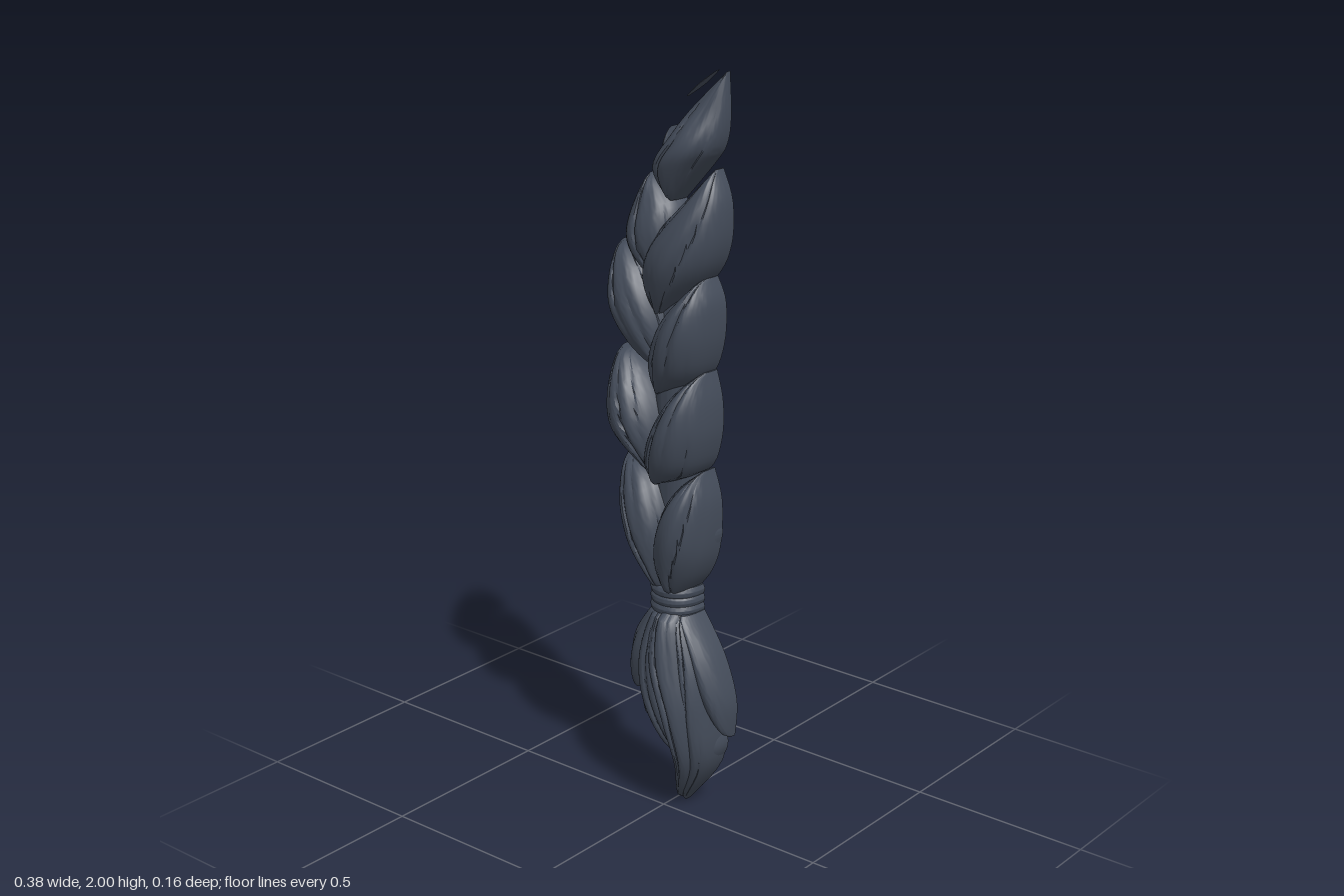
import * as THREE from 'three';
import { toCreasedNormals } from 'three/addons/utils/BufferGeometryUtils.js';

const BACK = -0.08; // the braid is a half relief with a flat back
const hair = new THREE.MeshStandardMaterial({ color: 0x434b59 });
hair.name = 'slate hair';

const spline = (pts) => new THREE.SplineCurve(pts.map(([x, y]) => new THREE.Vector2(x, y)));

// A domed lock between a left and a right edge, both listed from top to bottom.
// front: z of the crest; ends: height left at top and bottom; peak: where the crest lies.
function lock(name, left, right, { front = 0.06, top = 0.3, bottom = 0.3, peak = 0.5, grooves = 5, depth = 0.13, seed = 1 } = {}) {
  const rows = 20, cols = 40;
  const L = spline(left), R = spline(right);
  const skew = Math.log(0.5) / Math.log(peak);
  const pos = [], index = [];
  const heightAt = (u, s) => {
    const end = THREE.MathUtils.lerp(top, bottom, u);
    const along = end + (1 - end) * Math.pow(Math.max(0, Math.sin(Math.PI * Math.pow(u, skew))), 0.75);
    const across = Math.pow(Math.max(0, Math.sin(Math.PI * s)), 0.75);
    // sharp notches of uneven depth run along the lock
    const phase = s * grooves + 0.25 * Math.sin(u * 4 + seed * 2.1) + seed * 0.37;
    const uneven = 0.55 + 0.45 * Math.sin(Math.round(phase) * 2.7 + seed + u * 3);
    const notch = 1 - Math.pow(Math.abs(Math.sin(Math.PI * phase)), 0.5);
    return (front - BACK) * along * across * (1 - depth * uneven * notch);
  };
  // first and last rows drop to the back plane and close the ends
  for (let i = -1; i <= rows + 1; i++) {
    const u = THREE.MathUtils.clamp(i / rows, 0, 1);
    const a = L.getPoint(u), b = R.getPoint(u);
    for (let j = 0; j <= cols; j++) {
      const s = j / cols;
      const p = a.clone().lerp(b, (1 - Math.cos(Math.PI * s)) / 2);
      pos.push(p.x, p.y, BACK + (i < 0 || i > rows ? 0 : heightAt(u, s)));
    }
  }
  const ring = cols + 1, count = ring * (rows + 3);
  for (let k = 0; k < count; k++) pos.push(pos[k * 3], pos[k * 3 + 1], BACK);
  for (let i = 0; i < rows + 2; i++) {
    for (let j = 0; j < cols; j++) {
      const a = i * ring + j, b = a + ring, c = b + 1, d = a + 1;
      index.push(a, b, c, a, c, d);
      index.push(a + count, c + count, b + count, a + count, d + count, c + count);
    }
  }
  const geo = new THREE.BufferGeometry();
  geo.setAttribute('position', new THREE.Float32BufferAttribute(pos, 3));
  geo.setIndex(index);
  const mesh = new THREE.Mesh(toCreasedNormals(geo, 0.45), hair);
  mesh.name = name;
  return mesh;
}

// A thin stray wisp from a to b
function wisp(name, a, b, width, front) {
  const mid = [(a[0] + b[0]) / 2, (a[1] + b[1]) / 2];
  return lock(name, [a, [mid[0] - width / 2, mid[1]], b], [a, [mid[0] + width / 2, mid[1]], b],
    { front, grooves: 1, depth: 0, top: 0.5, bottom: 0.5 });
}

export function createModel() {
  const model = new THREE.Group();
  model.name = 'braid';

  // Plaited locks on the model's left (+x)
  const leftLocks = [
    [[[0.14, 2], [0.05, 1.91], [0, 1.84], [-0.055, 1.75], [0, 1.675]],
      [[0.142, 2], [0.147, 1.89], [0.135, 1.82], [0.1, 1.77], [0.01, 1.67]], { front: 0.035, top: 0.1, bottom: 0.55, peak: 0.66 }],
    [[[0.12, 1.76], [0.03, 1.66], [-0.055, 1.56], [-0.075, 1.46], [-0.025, 1.37]],
      [[0.125, 1.76], [0.155, 1.68], [0.152, 1.57], [0.105, 1.48], [-0.02, 1.37]], { front: 0.065, top: 0.2, bottom: 0.5, peak: 0.6 }],
    [[[0.1, 1.485], [0.035, 1.42], [-0.02, 1.35], [-0.055, 1.25], [-0.03, 1.165]],
      [[0.11, 1.485], [0.137, 1.42], [0.132, 1.31], [0.09, 1.22], [-0.02, 1.165]], { front: 0.07, bottom: 0.5 }],
    [[[0.1, 1.24], [0.03, 1.18], [-0.035, 1.08], [-0.065, 0.98], [-0.03, 0.92]],
      [[0.11, 1.24], [0.13, 1.16], [0.128, 1.06], [0.09, 0.97], [-0.02, 0.92]], { front: 0.078, bottom: 0.5 }],
    [[[0.1, 0.975], [0.035, 0.92], [-0.012, 0.84], [-0.033, 0.73], [-0.01, 0.63]],
      [[0.105, 0.975], [0.13, 0.89], [0.127, 0.77], [0.1, 0.69], [0.055, 0.63]], { front: 0.07, bottom: 0.6 }],
  ];
  leftLocks.forEach(([l, r, o], i) => model.add(lock(`leftLock${i + 1}`, l, r, { ...o, seed: i + 1 })));

  // Plaited locks on the model's right (-x)
  const rightLocks = [
    [[[-0.09, 1.725], [-0.135, 1.62], [-0.14, 1.55], [-0.1, 1.49], [-0.03, 1.44]],
      [[-0.06, 1.725], [0.01, 1.67], [0.03, 1.6], [0.02, 1.52], [-0.01, 1.44]], { front: 0.035 }],
    [[[-0.18, 1.54], [-0.19, 1.45], [-0.18, 1.36], [-0.11, 1.27], [-0.03, 1.225]],
      [[-0.13, 1.545], [-0.06, 1.5], [-0.01, 1.42], [0.01, 1.33], [-0.01, 1.225]], { front: 0.06 }],
    [[[-0.18, 1.26], [-0.19, 1.16], [-0.18, 1.06], [-0.12, 0.99], [-0.04, 0.93]],
      [[-0.13, 1.26], [-0.07, 1.21], [-0.02, 1.13], [0, 1.04], [-0.02, 0.93]], { front: 0.065 }],
    [[[-0.165, 0.97], [-0.158, 0.85], [-0.125, 0.75], [-0.085, 0.68], [-0.05, 0.63]],
      [[-0.1, 0.975], [-0.03, 0.94], [0.015, 0.85], [0.02, 0.75], [0.01, 0.63]], { front: 0.06, bottom: 0.55 }],
  ];
  rightLocks.forEach(([l, r, o], i) => model.add(lock(`rightLock${i + 1}`, l, r, { top: 0.35, bottom: 0.4, grooves: 6, ...o, seed: i + 6 })));

  // Core that fills the gaps between the locks
  model.add(lock('core', [[0.02, 1.62], [-0.08, 1.4], [-0.06, 1.1], [-0.07, 0.8], [-0.05, 0.6]],
    [[0.08, 1.62], [0.08, 1.4], [0.08, 1.1], [0.08, 0.8], [0.06, 0.6]], { front: 0, top: 0.5, bottom: 0.8, depth: 0 }));

  // Tie band: three stacked rolls
  for (let i = 0; i < 3; i++) {
    const y = 0.642 - i * 0.025;
    model.add(lock(`tieBand${i + 1}`, [[-0.068, y], [-0.072, y - 0.014], [-0.066, y - 0.028]],
      [[0.07, y], [0.075, y - 0.014], [0.07, y - 0.028]], { front: 0.015, top: 0.92, bottom: 0.92, depth: 0, seed: i }));
  }

  // Loose tail below the tie
  const tail = [
    ['tailOuterRight', [[-0.06, 0.57], [-0.11, 0.49], [-0.135, 0.38], [-0.14, 0.285]],
      [[0, 0.57], [-0.03, 0.49], [-0.07, 0.4], [-0.135, 0.285]], { front: 0.02, top: 0.8, bottom: 0.1, peak: 0.4, grooves: 3 }],
    ['tailRight', [[-0.05, 0.575], [-0.085, 0.45], [-0.08, 0.33], [-0.04, 0.22], [0, 0.145]],
      [[0.03, 0.575], [0.04, 0.45], [0.06, 0.33], [0.06, 0.22], [0.025, 0.145]], { front: 0.055, top: 0.6, bottom: 0.2, peak: 0.4 }],
    ['tailMiddle', [[-0.03, 0.575], [-0.045, 0.44], [0, 0.29], [0.03, 0.15], [0.005, 0.005]],
      [[0.06, 0.575], [0.1, 0.44], [0.125, 0.3], [0.115, 0.14], [0.03, 0.005]], { front: 0.072, top: 0.6, bottom: 0.12, peak: 0.38 }],
    ['tailLeft', [[0.03, 0.57], [0.05, 0.44], [0.07, 0.3], [0.07, 0.15], [0.02, 0]],
      [[0.07, 0.57], [0.13, 0.44], [0.15, 0.3], [0.14, 0.15], [0.03, 0]], { front: 0.045, top: 0.6, bottom: 0.15, peak: 0.4, grooves: 4 }],
    ['tailOuterLeft', [[0.03, 0.57], [0.08, 0.47], [0.11, 0.35], [0.165, 0.235]],
      [[0.075, 0.57], [0.145, 0.46], [0.185, 0.34], [0.18, 0.235]], { front: 0.02, top: 0.8, bottom: 0.2, peak: 0.4, grooves: 3 }],
    ['tailLowerLeft', [[0.1, 0.3], [0.09, 0.2], [0.06, 0.1]],
      [[0.13, 0.3], [0.157, 0.2], [0.1, 0.1]], { front: -0.01, grooves: 2 }],
  ];
  tail.forEach(([n, l, r, o], i) => model.add(lock(n, l, r, { ...o, seed: i + 11 })));

  // Stray wisps
  const wisps = [
    [[0.11, 2], [0.015, 1.925], 0.014, -0.06], [[-0.02, 1.85], [-0.035, 1.76], 0.02, -0.03],
    [[-0.18, 1.04], [-0.07, 0.94], 0.03, -0.04], [[-0.09, 0.38], [-0.1, 0.22], 0.035, -0.03],
    [[-0.06, 0.36], [-0.07, 0.23], 0.03, -0.03], [[-0.12, 0.4], [-0.115, 0.27], 0.03, -0.04],
    [[0.12, 0.85], [0.125, 0.765], 0.02, -0.04],
  ];
  wisps.forEach((w, i) => model.add(wisp(`wisp${i + 1}`, ...w)));

  return model;
}
